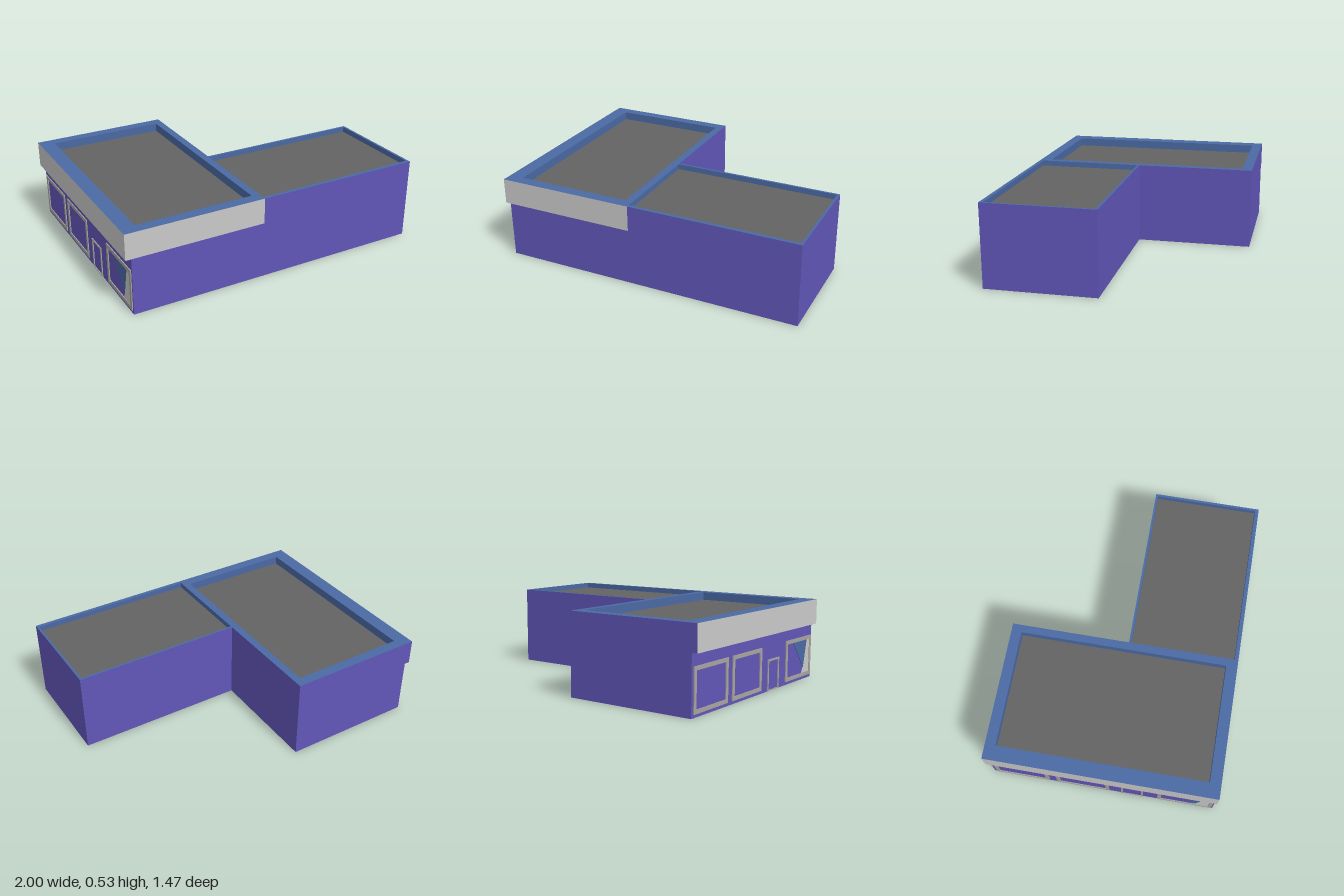
import * as THREE from 'three';

const mat = (name, color) => {
  const m = new THREE.MeshStandardMaterial({ color });
  m.name = name;
  return m;
};

export function createModel() {
  const purple = mat('purple wall', 0x6156b8);
  const blue = mat('blue trim', 0x4a69a4);
  const roofGrey = mat('roof grey', 0x636363);
  const lightGrey = mat('light grey', 0xc9c9c9);
  const frameGrey = mat('frame grey', 0xa8a5a0);

  const model = new THREE.Group();
  model.name = 'building';
  const add = (name, geometry, material) => {
    const mesh = new THREE.Mesh(geometry, material);
    mesh.name = name;
    model.add(mesh);
  };

  // Vertical wall faces along a path of [x, z] points, facing right of travel
  const ribbon = (path, y0, y1) => {
    const v = [];
    for (let i = 0; i + 1 < path.length; i++) {
      const [ax, az] = path[i], [bx, bz] = path[i + 1];
      v.push(ax, y0, az, bx, y0, bz, bx, y1, bz, ax, y0, az, bx, y1, bz, ax, y1, az);
    }
    const g = new THREE.BufferGeometry();
    g.setAttribute('position', new THREE.Float32BufferAttribute(v, 3));
    g.computeVertexNormals();
    return g;
  };

  const shapeOf = (pts, hole) => {
    const s = new THREE.Shape(pts.map(([x, y]) => new THREE.Vector2(x, y)));
    if (hole) s.holes.push(new THREE.Path(hole.map(([x, y]) => new THREE.Vector2(x, y))));
    return s;
  };

  // Horizontal face from [x, z] points
  const flat = (pts, y, hole, down = false) => {
    const k = down ? 1 : -1;
    const f = (p) => p.map(([x, z]) => [x, k * z]);
    return new THREE.ShapeGeometry(shapeOf(f(pts), hole && f(hole)))
      .rotateX(k * Math.PI / 2).translate(0, y, 0);
  };

  const rect = (a0, b0, a1, b1) => [[a0, b0], [a1, b0], [a1, b1], [a0, b1]];
  const closed = (p) => [...p, p[0]];

  const H = 0.53, EAVE = 0.365, F = 0.735, WALL = -0.965, MID = -0.1, BACK = 0.027;

  // Walls and base
  const footprint = [[WALL, F], [1, F], [1, BACK], [MID, BACK], [MID, -F], [WALL, -F]];
  add('lowerWalls', ribbon(closed(footprint), 0, EAVE), purple);
  add('upperWalls', ribbon([[MID, F], [1, F], [1, BACK], [MID, BACK], [MID, -F], [-1, -F]], EAVE, H), purple);
  add('base', flat(footprint, 0, null, true), blue);

  // Overhanging fascia on the shop side, wrapping round the front
  add('fascia', ribbon([[-1, -F], [-1, F], [MID, F]], EAVE, H), lightGrey);
  add('soffit', flat(rect(-1, -F, WALL, F), EAVE, null, true), purple);

  // Main roof: wide parapet round a sunken deck
  const deckY = 0.475;
  const mainInner = rect(-0.905, -0.668, -0.15, 0.663);
  add('mainParapetTop', flat(rect(-1, -F, MID, F), H, mainInner), blue);
  add('mainParapetInside', ribbon(closed(mainInner), deckY, H), blue);
  add('mainRoof', flat(mainInner, deckY), roofGrey);

  // Wing roof: narrow rim on three sides
  const wingY = 0.495, x1 = 0.985, z0 = 0.042, z1 = 0.711;
  const rim = [[MID, z0], [x1, z0], [x1, z1], [MID, z1]];
  add('wingRimTop', flat([[MID, F], [1, F], [1, BACK], [MID, BACK], ...rim], H), blue);
  add('wingRimInside', ribbon(closed(rim), wingY, H), blue);
  add('wingRoof', flat(rim, wingY), roofGrey);

  // Thin plates on the shop side, drawn in [z, y]
  const plate = (name, pts, hole, depth, material) => add(name,
    new THREE.ExtrudeGeometry(shapeOf(pts, hole), { depth, bevelEnabled: false })
      .rotateY(-Math.PI / 2).translate(WALL, 0, 0), material);
  const frame = (name, a0, b0, a1, b1, w, material, bottom = w) =>
    plate(name, rect(a0, b0, a1, b1), rect(a0 + w, b0 + bottom, a1 - w, b1 - w), 0.006, material);

  for (const [a, b] of [[-0.715, -0.355], [-0.305, 0.045], [0.365, 0.725]])
    frame('windowFrame', a, 0.02, b, 0.288, 0.024, frameGrey);
  frame('doorFrame', 0.125, 0.002, 0.27, 0.202, 0.012, frameGrey, 0.006);

  // Glazing visible in the last window
  plate('windowGlass', [[0.47, 0.264], [0.62, 0.08], [0.665, 0.264]], null, 0.003, blue);
  plate('windowReveal', [[0.665, 0.264], [0.62, 0.08], [0.6, 0.044], [0.701, 0.044], [0.701, 0.264]], null, 0.003, lightGrey);

  return model;
}
